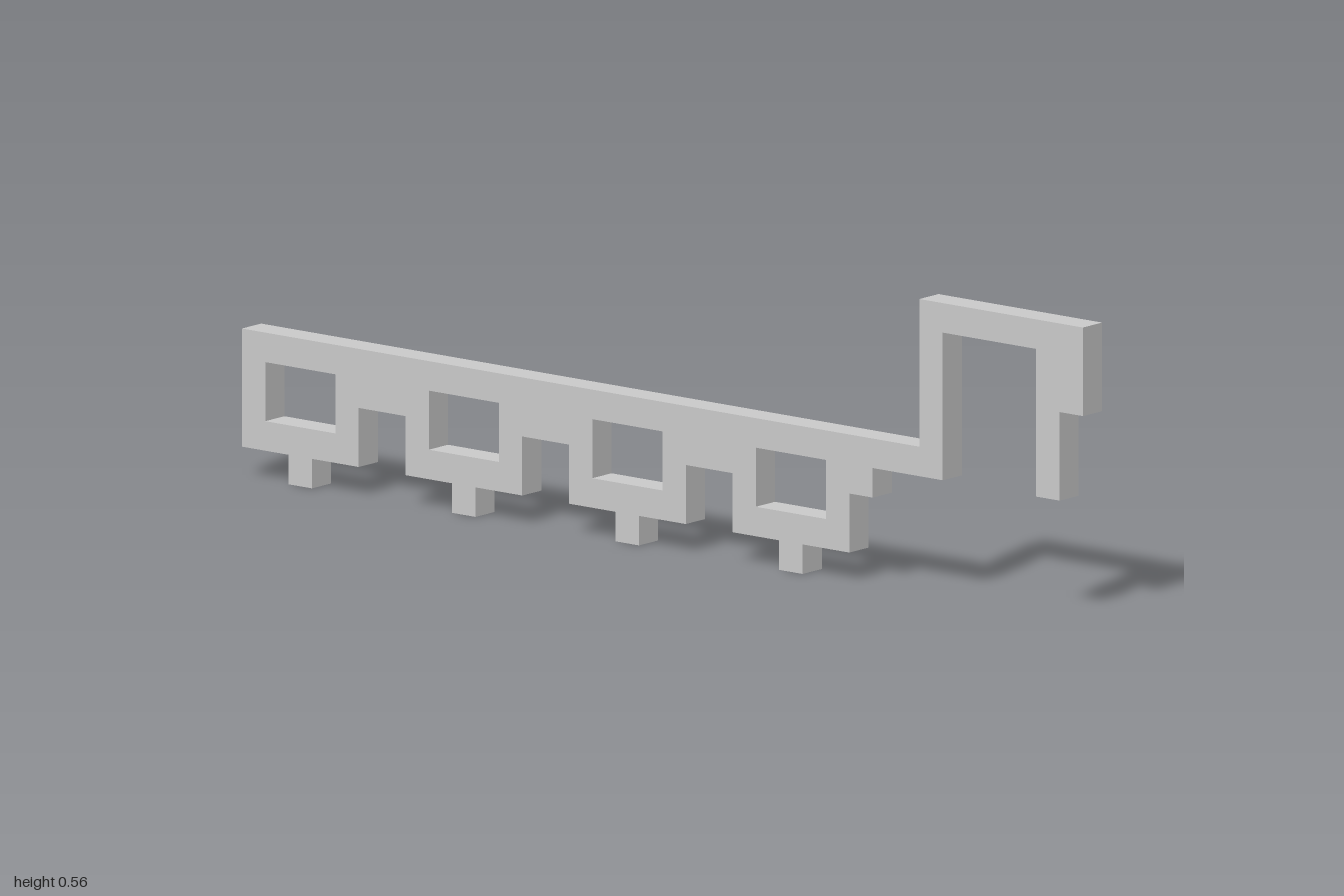
import * as THREE from 'three';

// The whole part sits on a grid 36 units long, 10 high and 1 thick
const U = 2 / 36;
const toPoint = ([x, y]) => new THREE.Vector2((x - 18) * U, y * U);

export function createModel() {
  const group = new THREE.Group();
  group.name = 'hookedRack';

  // Underside, left to right: four blocks, each with a small foot
  const outline = [];
  const windows = [];
  for (let i = 0; i < 4; i++) {
    const x = i * 7;
    if (i > 0) outline.push([x, 3]);
    outline.push([x, 1], [x + 2, 1], [x + 2, 0], [x + 3, 0], [x + 3, 1], [x + 5, 1], [x + 5, 3]);
    windows.push([[x + 1, 2], [x + 1, 4], [x + 4, 4], [x + 4, 2]]);
  }

  // Step at the end of the beam, then the raised hook and back along the top
  outline.push(
    [27, 3], [27, 4], [30, 4], [30, 9], [34, 9], [34, 4], [35, 4], [35, 7],
    [36, 7], [36, 10], [29, 10], [29, 5], [0, 5]
  );

  const shape = new THREE.Shape(outline.map(toPoint));
  // Rectangular window through each block
  for (const w of windows) shape.holes.push(new THREE.Path(w.map(toPoint)));

  const geometry = new THREE.ExtrudeGeometry(shape, { depth: U, bevelEnabled: false });
  geometry.translate(0, 0, -U / 2);

  const rack = new THREE.Mesh(
    geometry,
    new THREE.MeshStandardMaterial({ color: 0xcccccc, flatShading: true })
  );
  rack.name = 'rackWithHook';
  group.add(rack);
  return group;
}
